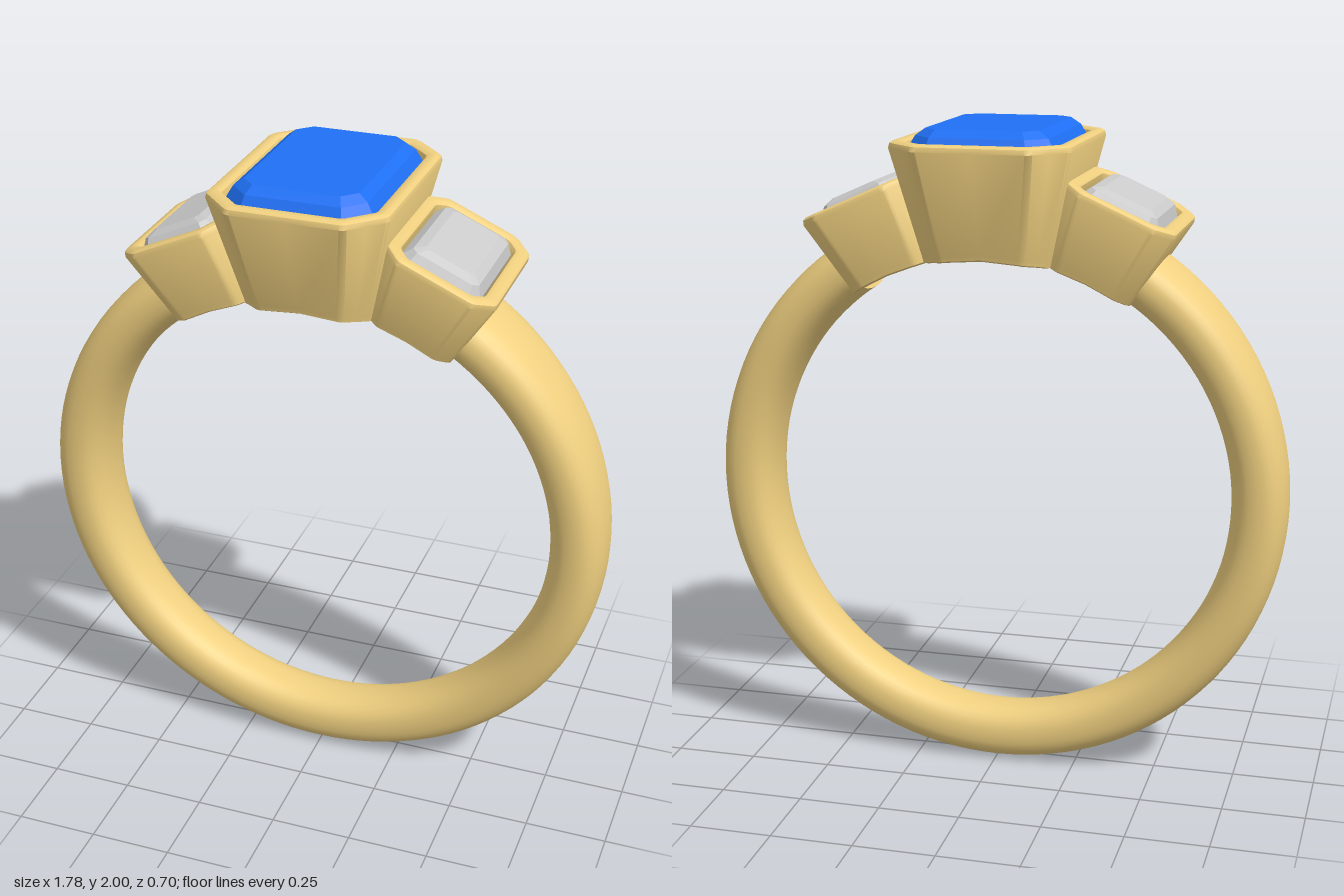
import * as THREE from 'three';
import { toCreasedNormals } from 'three/addons/utils/BufferGeometryUtils.js';

const gold = new THREE.MeshStandardMaterial({ color: 0xf0d080 });
const blue = new THREE.MeshStandardMaterial({ color: 0x1f70f5, flatShading: true });
const clear = new THREE.MeshStandardMaterial({ color: 0xcccccc, flatShading: true });

const RING_Y = 0.89;      // height of the ring centre
const BORE = 0.733;       // radius the undersides of the settings follow

// Skin a list of equal-length loops of points; closed joins last loop to first
function loft(loops, closed = false) {
  const pos = [];
  const put = (...pts) => pts.forEach(p => pos.push(p.x, p.y, p.z));
  const n = loops[0].length;
  const last = closed ? loops.length : loops.length - 1;
  for (let i = 0; i < last; i++) {
    const lo = loops[i], hi = loops[(i + 1) % loops.length];
    for (let j = 0; j < n; j++) {
      const k = (j + 1) % n;
      put(lo[j], hi[j], lo[k], lo[k], hi[j], hi[k]);
    }
  }
  const geo = new THREE.BufferGeometry();
  geo.setAttribute('position', new THREE.Float32BufferAttribute(pos, 3));
  geo.computeVertexNormals();
  return geo;
}

// Cut-corner rectangle at height y; soft > 0 rounds the corners and adds edge midpoints
function octagon(y, hx, hz, c, soft = 0) {
  const quarter = [[hx, hz - c], [hx - c, hz]];
  const flat = [
    ...quarter,
    ...quarter.map(([x, z]) => [-x, z]).reverse(),
    ...quarter.map(([x, z]) => [-x, -z]),
    ...quarter.map(([x, z]) => [x, -z]).reverse(),
  ].map(([x, z]) => new THREE.Vector3(x, y, z));
  if (!soft) return flat;
  const out = [];
  flat.forEach((p, i) => {
    const prev = flat[(i + 7) % 8], next = flat[(i + 1) % 8];
    const toward = q => p.clone().lerp(q, Math.min(0.4, soft / p.distanceTo(q)));
    const a = toward(prev), b = toward(next);
    const mid = a.clone().add(b).multiplyScalar(0.25).addScaledVector(p, 0.5);
    out.push(a, mid, b, p.clone().lerp(next, 0.5));
  });
  return out;
}

// Hollow tapered setting, local y measured outward from the ring centre
function makeBezel({ rimY, top, bottom, wall }) {
  const ring = (y, [hx, hz, c], inset) =>
    octagon(y, hx - inset, hz - inset, c - 0.586 * inset, 0.012);
  const under = (inset, lift) => {
    const loop = ring(0, bottom, inset);
    loop.forEach(p => { p.y = Math.sqrt(BORE * BORE - p.x * p.x) + lift; });
    return loop;
  };
  const rim = [[-0.02, 0], [-0.006, 0.004], [0, 0.014], [0, 0.034], [-0.006, 0.044], [-0.02, 0.048], [-0.06, 0.05]];
  const loops = [
    under(0.012, 0), under(0.003, 0.005), under(0, 0.018),
    ...rim.map(([dy, inset]) => ring(rimY + dy, top, inset)),
    under(wall, 0.012), under(wall + 0.002, 0),
  ];
  const mesh = new THREE.Mesh(toCreasedNormals(loft(loops, true), 0.65), gold);
  mesh.name = 'bezel';
  return mesh;
}

// Step-cut stone: pavilion, girdle, two crown steps and a table
function makeStone({ rimY, top, rise, depth }, material) {
  const [hx, hz, c] = [top[0] - 0.052, top[1] - 0.052, top[2] - 0.03];
  const step = (dy, inset) =>
    octagon(rimY + dy, hx - inset, hz - inset, Math.max(0.012, c - 0.586 * inset));
  const loops = [
    octagon(rimY - depth, 0, hz - hx, 0),
    step(-depth * 0.55, hx * 0.45),
    step(-0.05, 0),
    step(-0.025, 0),
    step(rise * 0.4, 0.022),
    step(rise, 0.05),
    octagon(rimY + rise, 0, 0, 0),
  ];
  const mesh = new THREE.Mesh(loft(loops), material);
  mesh.name = 'stone';
  return mesh;
}

// Band: rounded section swept round the ring, wider toward the top, open under the settings
function makeBand() {
  const start = THREE.MathUtils.degToRad(33);
  const steps = 96, sides = 32, radius = 0.805, half = 0.085;
  const power = v => Math.sign(v) * Math.pow(Math.abs(v), 0.82);
  const section = (angle, scale) => Array.from({ length: sides }, (_, j) => {
    const t = (j / sides) * Math.PI * 2;
    const r = radius + half * scale * power(Math.cos(t));
    const z = -(0.125 + 0.03 * Math.cos(angle)) * scale * power(Math.sin(t));
    return new THREE.Vector3(Math.sin(angle) * r, Math.cos(angle) * r, z);
  });
  const end = Math.PI * 2 - start;
  const loops = [section(start, 0)];
  for (let i = 0; i <= steps; i++) loops.push(section(start + (end - start) * i / steps, 1));
  loops.push(section(end, 0));
  const mesh = new THREE.Mesh(toCreasedNormals(loft(loops), 0.9), gold);
  mesh.name = 'band';
  return mesh;
}

function makeSetting(name, spec, material, tilt) {
  const group = new THREE.Group();
  group.name = name;
  group.add(makeBezel(spec), makeStone(spec, material));
  group.rotation.z = -THREE.MathUtils.degToRad(tilt);
  return group;
}

export function createModel() {
  // top and bottom: half width, half length, corner cut
  const centre = {
    rimY: 1.075, top: [0.27, 0.35, 0.1], bottom: [0.195, 0.238, 0.07],
    wall: 0.07, rise: 0.035, depth: 0.22,
  };
  const side = {
    rimY: 0.985, top: [0.178, 0.247, 0.06], bottom: [0.14, 0.187, 0.045],
    wall: 0.05, rise: 0.02, depth: 0.15,
  };
  const ring = new THREE.Group();
  ring.name = 'ring';
  ring.position.y = RING_Y;
  ring.add(
    makeBand(),
    makeSetting('centreSetting', centre, blue, 0),
    makeSetting('leftSetting', side, clear, 24),
    makeSetting('rightSetting', side, clear, -24),
  );
  const model = new THREE.Group();
  model.name = 'threeStoneRing';
  model.add(ring);
  return model;
}
